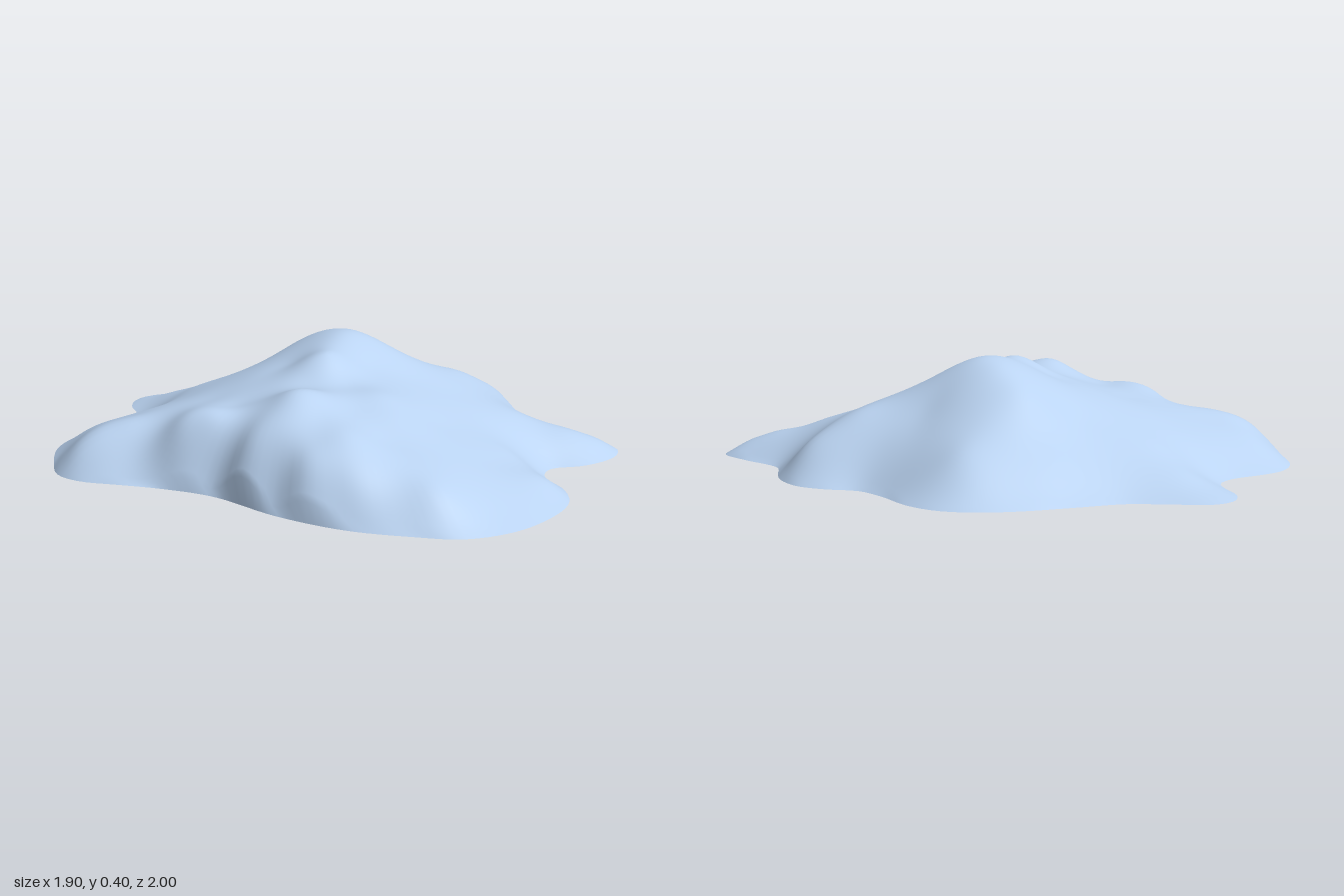
import * as THREE from 'three';

// Footprint of the mound on the ground, as [x, z] points going round
const FOOTPRINT = [
  [-0.25, -1], [-0.33, -0.98], [-0.39, -0.9], [-0.41, -0.8], [-0.44, -0.72], [-0.52, -0.67],
  [-0.65, -0.65], [-0.75, -0.62], [-0.84, -0.54], [-0.91, -0.4], [-0.95, -0.25], [-0.91, -0.15],
  [-0.81, -0.05], [-0.7, 0.06], [-0.58, 0.22], [-0.48, 0.5], [-0.35, 0.72], [-0.2, 0.87],
  [-0.07, 0.97], [0.1, 1], [0.28, 0.96], [0.42, 0.88], [0.49, 0.77], [0.52, 0.62],
  [0.59, 0.57], [0.7, 0.6], [0.8, 0.6], [0.89, 0.57], [0.945, 0.5], [0.91, 0.36],
  [0.84, 0.17], [0.87, 0.05], [0.89, -0.05], [0.87, -0.18], [0.8, -0.27], [0.71, -0.34],
  [0.67, -0.45], [0.64, -0.62], [0.58, -0.73], [0.48, -0.8], [0.35, -0.84], [0.18, -0.86],
  [0, -0.88], [-0.12, -0.94],
];

// Ridges, ledges and gullies as short runs of [x, z, height]
const summit = [[0.13, -0.12, 0.395], [0.21, -0.18, 0.397], [0.28, -0.12, 0.365], [0.19, -0.3, 0.375]];
const knob = [
  [0, 0.01, 0.375], [0.05, -0.02, 0.373], [-0.07, 0, 0.355], [0, 0.14, 0.3],
  [0.15, 0.06, 0.315], [-0.08, -0.12, 0.32], [-0.13, 0.08, 0.305],
];
const frontLedges = [
  [-0.27, 0.23, 0.326], [-0.2, 0.25, 0.322], [-0.15, 0.15, 0.3], [-0.35, 0.22, 0.285], [-0.29, 0.08, 0.275],
  [-0.25, 0.37, 0.272], [-0.1, 0.34, 0.27], [-0.22, 0.51, 0.24], [-0.32, 0.48, 0.22],
  [-0.25, 0.64, 0.165], [-0.13, 0.72, 0.14], [-0.08, 0.82, 0.11], [0.06, 0.91, 0.045],
];
const frontSpine = [[0.05, 0.28, 0.282], [0.03, 0.42, 0.24], [0.06, 0.6, 0.17], [0.06, 0.78, 0.11], [-0.09, 0.54, 0.205]];
const frontSlope = [[0.21, 0.44, 0.185], [0.28, 0.68, 0.1], [0.4, 0.58, 0.095], [0.41, 0.78, 0.05]];
const leftCliff = [
  [-0.43, 0.18, 0.235], [-0.52, 0.1, 0.22], [-0.61, 0.03, 0.18], [-0.4, 0.38, 0.215], [-0.4, 0.04, 0.245],
  [-0.49, 0.3, 0.17], [-0.41, 0.52, 0.135], [-0.3, 0.68, 0.1],
];
const leftLobe = [
  [-0.61, -0.09, 0.18], [-0.7, -0.19, 0.165], [-0.8, -0.23, 0.138], [-0.89, -0.24, 0.075],
  [-0.72, -0.07, 0.085], [-0.65, -0.32, 0.15], [-0.75, -0.45, 0.085], [-0.55, -0.5, 0.095],
];
const backSlope = [
  [-0.4, -0.15, 0.22], [-0.2, -0.18, 0.275], [-0.4, -0.4, 0.16], [-0.1, -0.32, 0.275],
  [0, -0.5, 0.22], [-0.25, -0.6, 0.135], [-0.05, -0.7, 0.11], [-0.25, -0.8, 0.065], [-0.28, -0.92, 0.022],
  [0.17, -0.45, 0.305], [0.18, -0.6, 0.185], [0.2, -0.73, 0.095],
];
const backRightSpur = [
  [0.38, -0.48, 0.21], [0.45, -0.6, 0.14], [0.47, -0.7, 0.075], [0.56, -0.54, 0.075], [0.35, -0.3, 0.295],
];
const rightSpurs = [
  [0.36, -0.05, 0.31], [0.5, -0.05, 0.25], [0.61, -0.05, 0.215], [0.7, -0.05, 0.17], [0.8, -0.05, 0.105],
  [0.3, 0.12, 0.265], [0.45, 0.2, 0.205], [0.6, 0.33, 0.14], [0.75, 0.45, 0.085], [0.86, 0.5, 0.045],
];
const gullies = [[0.44, -0.26, 0.235], [0.56, -0.3, 0.14], [0.7, 0.17, 0.11], [0.5, 0.44, 0.105]];

// Smooth surface through all points: solve for one radial weight per point
const kernel = (dx, dz) => Math.sqrt(dx * dx + dz * dz + 0.003);

function makeHeight(points) {
  const n = points.length;
  const rows = points.map(([x, z, h]) => [...points.map((q) => kernel(x - q[0], z - q[1])), h]);
  for (let c = 0; c < n; c++) {
    let pivot = c;
    for (let r = c + 1; r < n; r++) if (Math.abs(rows[r][c]) > Math.abs(rows[pivot][c])) pivot = r;
    [rows[c], rows[pivot]] = [rows[pivot], rows[c]];
    for (let r = 0; r < n; r++) {
      if (r === c) continue;
      const f = rows[r][c] / rows[c][c];
      for (let k = c; k <= n; k++) rows[r][k] -= f * rows[c][k];
    }
  }
  const weights = rows.map((row, i) => row[n] / row[i]);
  return (x, z) => points.reduce((sum, q, i) => sum + weights[i] * kernel(x - q[0], z - q[1]), 0);
}

export function createModel() {
  const group = new THREE.Group();
  group.name = 'rockyMound';

  const height = makeHeight([
    ...summit, ...knob, ...frontLedges, ...frontSpine, ...frontSlope, ...leftCliff, ...leftLobe,
    ...backSlope, ...backRightSpur, ...rightSpurs, ...gullies,
    ...FOOTPRINT.map(([x, z]) => [x, z, 0]),
  ]);

  // Rings shrink from the footprint towards the middle
  const spokes = 176, rings = 48;
  const outline = new THREE.CatmullRomCurve3(
    FOOTPRINT.map(([x, z]) => new THREE.Vector3(x, 0, z)), true, 'centripetal');
  const rim = outline.getSpacedPoints(spokes).slice(0, spokes);
  const positions = [0, height(0, 0), 0];
  const indices = [];
  for (let j = 1; j <= rings; j++) {
    const t = j / rings;
    for (let i = 0; i < spokes; i++) {
      const x = rim[i].x * t, z = rim[i].z * t;
      positions.push(x, j === rings ? 0 : Math.max(0.002, height(x, z)), z);
      const next = (i + 1) % spokes;
      const a = 1 + (j - 1) * spokes + i, b = 1 + (j - 1) * spokes + next;
      if (j === 1) indices.push(0, a, b);
      else indices.push(a - spokes, a, b, a - spokes, b, b - spokes);
    }
  }
  const geometry = new THREE.BufferGeometry();
  geometry.setAttribute('position', new THREE.Float32BufferAttribute(positions, 3));
  geometry.setIndex(indices);
  geometry.computeVertexNormals();

  // Open shell, so both sides show
  const mound = new THREE.Mesh(geometry,
    new THREE.MeshStandardMaterial({ color: 0xbad3f1, side: THREE.DoubleSide }));
  mound.name = 'moundSurface';
  group.add(mound);
  return group;
}
